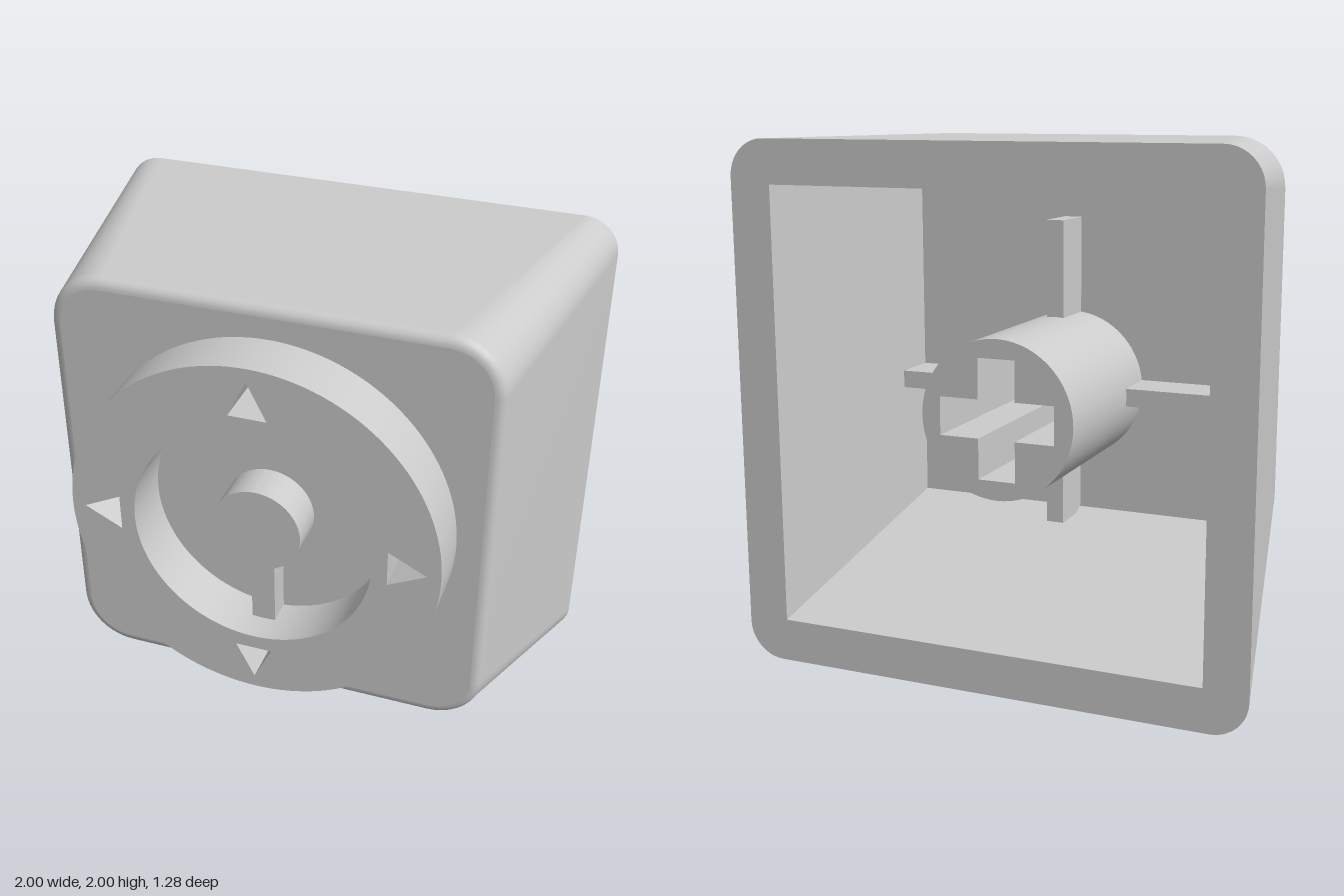
import * as THREE from 'three';
import { toCreasedNormals } from 'three/addons/utils/BufferGeometryUtils.js';

const BACK = -0.64, FACE = 0.435, FLOOR = 0.25, DIAL_Y = 1.19, STEM_Y = 1;

// Counter-clockwise rounded rectangle, r = 0 gives four sharp corners
function outline(hw, y0, y1, r) {
  const pts = [], steps = r > 0 ? 10 : 0;
  const corners = [[hw - r, y0 + r, -90], [hw - r, y1 - r, 0], [r - hw, y1 - r, 90], [r - hw, y0 + r, 180]];
  for (const [cx, cy, start] of corners) {
    for (let i = 0; i <= steps; i++) {
      const a = THREE.MathUtils.degToRad(start + (steps ? (90 * i) / steps : 0));
      pts.push(new THREE.Vector2(cx + r * Math.cos(a), cy + r * Math.sin(a)));
    }
  }
  return pts;
}

// Skin through a list of { pts, z } sections running towards the front
function loft(sections, inward = false) {
  const n = sections[0].pts.length, pos = [], index = [];
  for (const { pts, z } of sections) for (const p of pts) pos.push(p.x, p.y, z);
  for (let i = 0; i < sections.length - 1; i++) {
    for (let j = 0; j < n; j++) {
      const a = i * n + j, b = i * n + ((j + 1) % n), c = a + n, d = b + n;
      if (inward) index.push(a, c, b, b, c, d);
      else index.push(a, b, c, b, d, c);
    }
  }
  const g = new THREE.BufferGeometry();
  g.setAttribute('position', new THREE.Float32BufferAttribute(pos, 3));
  g.setIndex(index);
  return g;
}

// Extrusion along z from z0 to z1 with smooth curves and sharp edges
function prism(shape, z0, z1) {
  const g = new THREE.ExtrudeGeometry(shape, { depth: z1 - z0, bevelEnabled: false, curveSegments: 64 });
  g.translate(0, 0, z0);
  return toCreasedNormals(g, 0.5);
}

function disc(r, y) {
  const s = new THREE.Shape();
  s.absarc(0, y, r, 0, Math.PI * 2, false);
  return s;
}

function box(x0, x1, y0, y1, z0, z1) {
  return new THREE.BoxGeometry(x1 - x0, y1 - y0, z1 - z0)
    .translate((x0 + x1) / 2, (y0 + y1) / 2, (z0 + z1) / 2);
}

export function createModel() {
  const model = new THREE.Group();
  model.name = 'keycap';
  const material = new THREE.MeshStandardMaterial({ color: 0xcccccc });
  const add = (name, geometry, parent = model) => {
    const mesh = new THREE.Mesh(geometry, material);
    mesh.name = name;
    parent.add(mesh);
  };

  // Tapered outer shell with a filleted front edge
  const fillet = 0.04;
  const sections = [{ pts: outline(1, 0, 2, 0.14), z: BACK }];
  for (let i = 0; i <= 6; i++) {
    const t = (i / 6) * Math.PI / 2, inset = fillet * (1 - Math.cos(t));
    sections.push({
      pts: outline(0.82 - inset, 0.365 + inset, 2 - inset, 0.2 - inset),
      z: FACE - fillet + fillet * Math.sin(t),
    });
  }
  const shell = loft(sections);
  shell.computeVertexNormals();
  add('outerShell', shell);
  add('frontFace', new THREE.ShapeGeometry(new THREE.Shape(sections[6 + 1].pts)).translate(0, 0, FACE));

  // Flat rim around the open back
  const mouth = outline(0.835, 0.165, 1.835, 0);
  const rim = new THREE.Shape(sections[0].pts);
  rim.holes.push(new THREE.Path(mouth));
  add('backRim', new THREE.ShapeGeometry(rim).rotateY(Math.PI).translate(0, 0, BACK));

  // Sharp-cornered cavity
  const end = outline(0.68, 0.48, 1.835, 0);
  const walls = loft([{ pts: mouth, z: BACK }, { pts: end, z: FLOOR }], true).toNonIndexed();
  walls.computeVertexNormals();
  add('cavityWalls', walls);
  add('cavityFloor', new THREE.ShapeGeometry(new THREE.Shape(end)).rotateY(Math.PI).translate(0, 0, FLOOR));

  // Round stem with a cross-shaped socket
  const stem = disc(0.3, STEM_Y);
  const L = 0.227, w = 0.073;
  const quarter = [[L, -w], [L, w], [w, w]];
  const cross = [];
  for (let k = 0; k < 4; k++) {
    for (const [x, y] of quarter) {
      cross.push(new THREE.Vector2(x, y).rotateAround(new THREE.Vector2(), k * Math.PI / 2)
        .add(new THREE.Vector2(0, STEM_Y)));
    }
  }
  stem.holes.push(new THREE.Path(cross));
  add('stem', prism(stem, -0.5, FLOOR));

  // Four ribs bracing the stem on the cavity floor
  const ribs = new THREE.Group();
  ribs.name = 'stemRibs';
  model.add(ribs);
  const t = 0.035, ribBack = 0.06;
  add('leftRib', box(0.28, 0.68, STEM_Y - t, STEM_Y + t, ribBack, FLOOR), ribs);
  add('rightRib', box(-0.68, -0.28, STEM_Y - t, STEM_Y + t, ribBack, FLOOR), ribs);
  add('upperRib', box(-t, t, 1.28, 1.68, ribBack, FLOOR), ribs);
  add('lowerRib', box(-t, t, 0.46, 0.72, ribBack, FLOOR), ribs);

  // Dial ring pierced by four outward-pointing triangles
  const ring = disc(0.69, DIAL_Y);
  ring.holes.push(disc(0.445, DIAL_Y));
  for (let k = 0; k < 4; k++) {
    const tri = [[-0.07, 0.5], [0.07, 0.5], [0, 0.64]].map(([x, y]) =>
      new THREE.Vector2(x, y).rotateAround(new THREE.Vector2(), k * Math.PI / 2)
        .add(new THREE.Vector2(0, DIAL_Y)));
    ring.holes.push(new THREE.Path(tri));
  }
  add('dialRing', prism(ring, FACE, 0.64));

  // Central knob and its pointer bar
  add('knob', prism(disc(0.165, DIAL_Y), FACE, 0.585));
  add('pointer', box(-0.045, 0.045, 0.745, 1.05, FACE, 0.53));

  return model;
}
